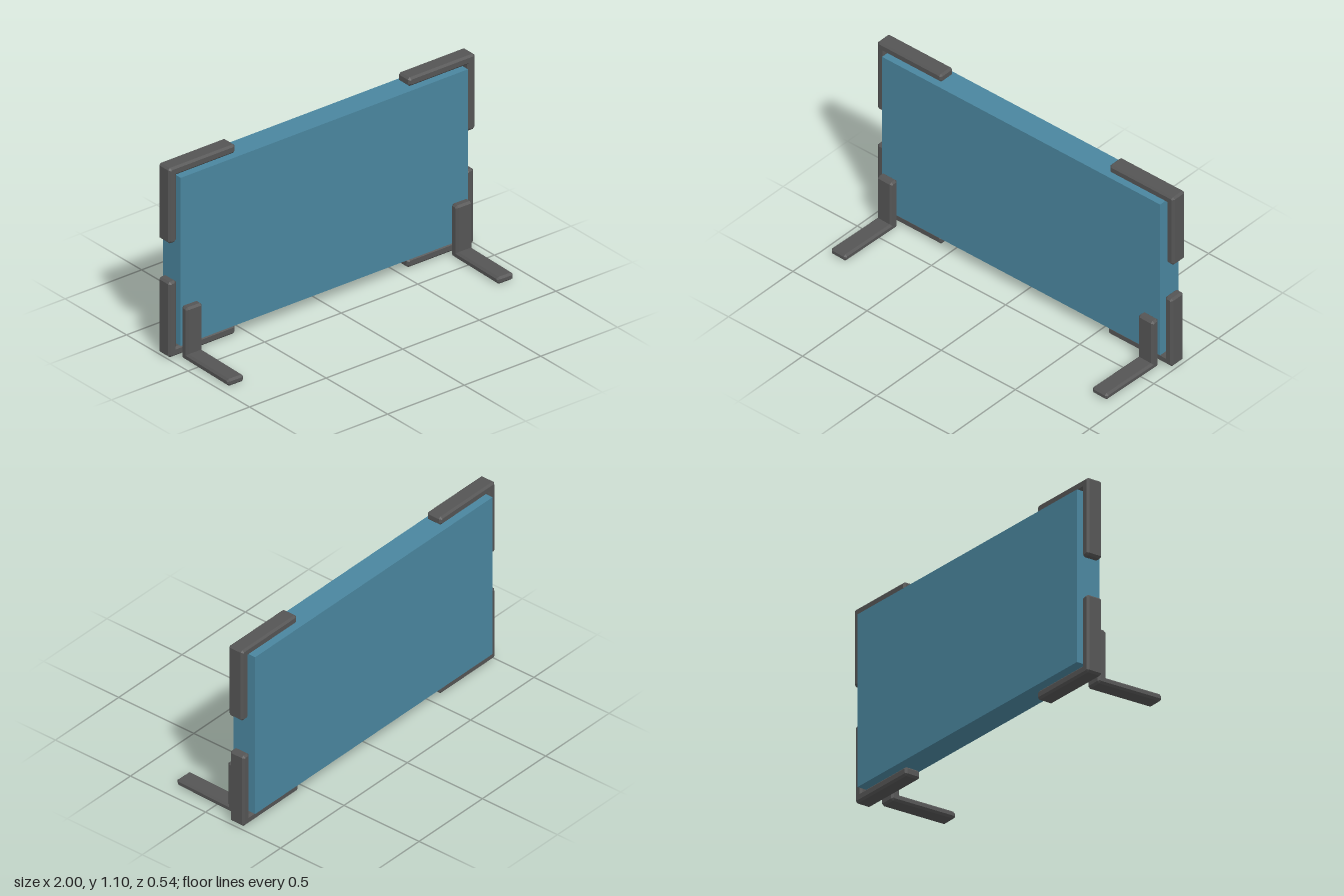
import * as THREE from 'three';

const C = 0.011; // chamfer size
const dark = new THREE.MeshStandardMaterial({ color: 0x555555, flatShading: true });
const blue = new THREE.MeshStandardMaterial({ color: 0x4a869f, flatShading: true });

// Chamfered L bar: outer corner at the origin, arms along sx and sy, centred on z
function angleBar(lenX, lenY, thickX, thickY, width, sx = 1, sy = 1) {
  const corners = [
    [C, 0], [lenX - C, 0], [lenX, C], [lenX, thickX - C], [lenX - C, thickX],
    [thickY, thickX],
    [thickY, lenY - C], [thickY - C, lenY], [C, lenY], [0, lenY - C], [0, C],
  ];
  const shape = new THREE.Shape(corners.map(([x, y]) => new THREE.Vector2(x * sx, y * sy)));
  const geo = new THREE.ExtrudeGeometry(shape, {
    depth: width - 2 * C, bevelEnabled: true, bevelSegments: 1,
    bevelThickness: C, bevelSize: C, bevelOffset: -C,
  });
  return geo.translate(0, 0, C - width / 2);
}

export function createModel() {
  const model = new THREE.Group();
  const add = (name, geo, material, x, y, z) => {
    const mesh = new THREE.Mesh(geo, material);
    mesh.name = name;
    mesh.position.set(x, y, z);
    model.add(mesh);
    return mesh;
  };

  // Flat slab
  add('panel', new THREE.BoxGeometry(1.875, 0.97, 0.143), blue, -0.007, 0.557, -0.2);

  // Corner guards around the slab
  const guards = [
    ['topRightGuard', -1, 1.1, 1, -1],
    ['topLeftGuard', 1, 1.1, -1, -1],
    ['bottomRightGuard', -1, 0.008, 1, 1],
    ['bottomLeftGuard', 0.99, 0.008, -1, 1],
  ];
  for (const [name, x, y, sx, sy] of guards) {
    add(name, angleBar(0.435, 0.435, 0.05, 0.05, 0.094, sx, sy), dark, x, y, -0.198);
  }

  // L-shaped feet, slightly turned, upright arm against the slab's front
  for (const [name, x] of [['rightFoot', -0.889], ['leftFoot', 0.872]]) {
    const geo = angleBar(0.397, 0.305, 0.04, 0.05, 0.102).rotateY(-Math.PI / 2);
    const foot = add(name, geo, dark, x, 0, -0.13);
    foot.rotation.y = -0.025;
  }
  return model;
}
